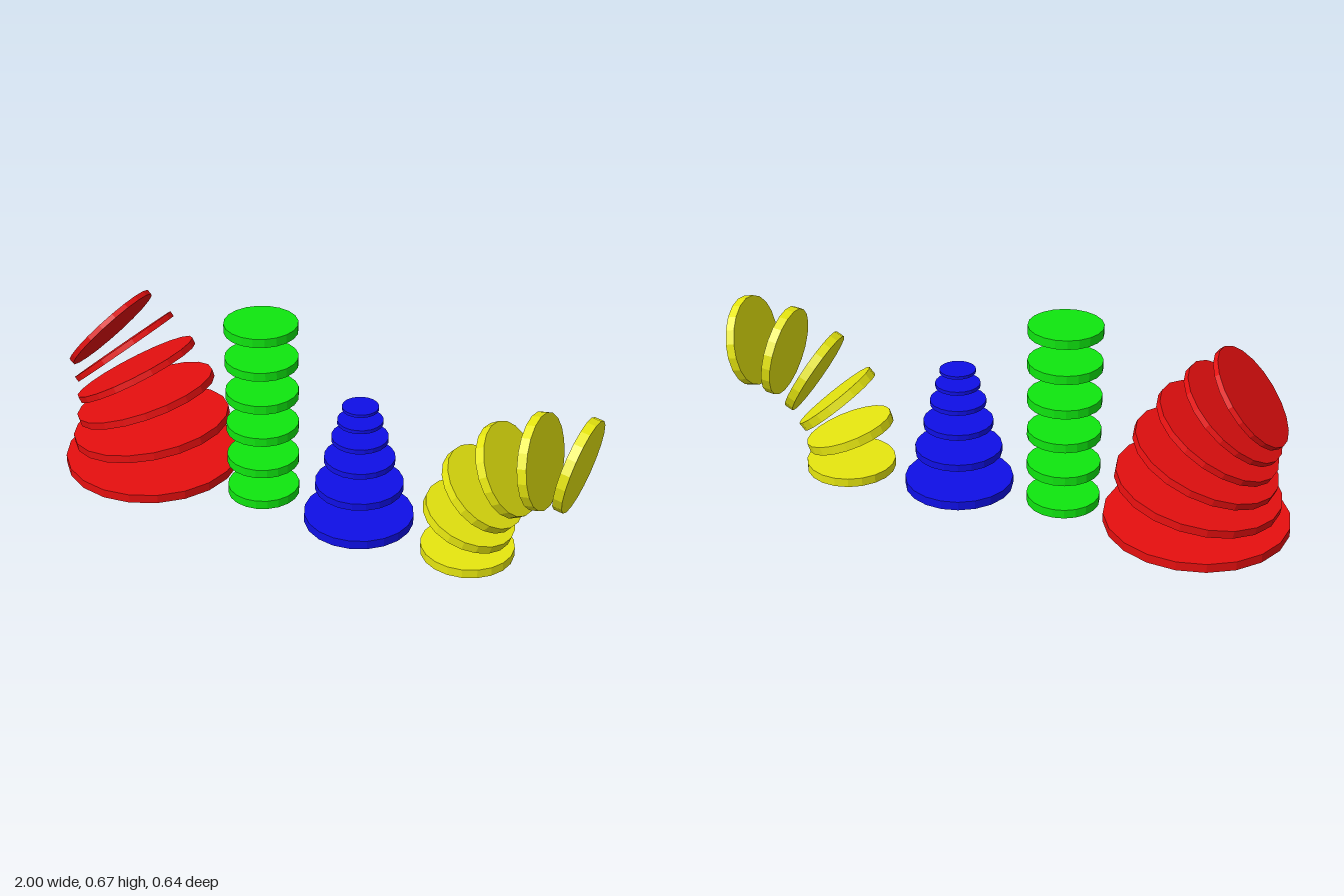
import * as THREE from 'three';

const COUNT = 6, THICKNESS = 0.032, STEP = 0.128;

// A stack of discs: each one is the last, moved along its axis, tilted and shrunk.
function discStack({ name, x, radius, color, tilt = 0, shrink = 1 }) {
  const stack = new THREE.Group();
  stack.name = name;
  const geometry = new THREE.CylinderGeometry(radius, radius, THICKNESS, 20);
  const material = new THREE.MeshStandardMaterial({ color, flatShading: true });
  const position = new THREE.Vector3(x, THICKNESS / 2, 0);
  for (let i = 0; i < COUNT; i++) {
    const angle = THREE.MathUtils.degToRad(tilt * i);
    const scale = shrink ** i;
    const disc = new THREE.Mesh(geometry, material);
    disc.name = `${name}Disc${i + 1}`;
    disc.position.copy(position);
    disc.rotation.z = angle;
    disc.scale.setScalar(scale);
    stack.add(disc);
    position.x -= Math.sin(angle) * STEP * scale;
    position.y += Math.cos(angle) * STEP * scale;
  }
  return stack;
}

export function createModel() {
  const model = new THREE.Group();
  model.name = 'discStacks';
  model.add(
    // curls to the right while shrinking
    discStack({ name: 'redCurlingStack', x: -0.68, radius: 0.32, color: 0xe60f0f, tilt: 10, shrink: 0.9 }),
    // straight column
    discStack({ name: 'greenColumn', x: -0.206, radius: 0.128, color: 0x0fe60f }),
    // tapering pyramid
    discStack({ name: 'bluePyramid', x: 0.178, radius: 0.192, color: 0x0f0fe6, shrink: 0.8 }),
    // arch of equal discs
    discStack({ name: 'yellowArch', x: 0.592, radius: 0.16, color: 0xe6e60f, tilt: -20 }),
  );
  return model;
}
